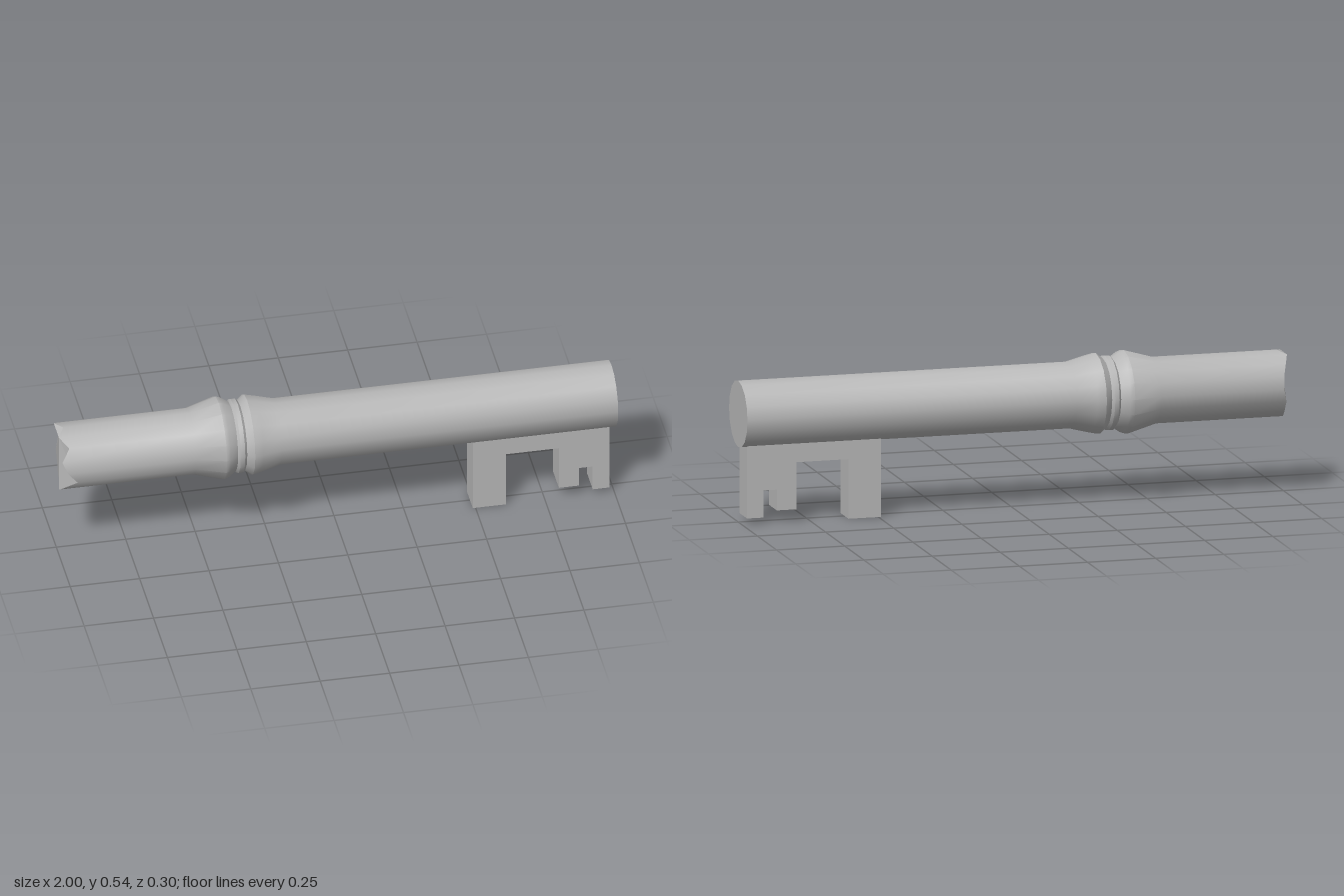
import * as THREE from 'three';
import { toCreasedNormals } from 'three/addons/utils/BufferGeometryUtils.js';

const SIDES = 16, R = 0.12, AXIS_Y = 0.39;

// x of the snapped-off rim, one value per side, from the top towards +z
const RIM = [-0.975, -1, -0.97, -1, -0.98, -0.945, -1, -1,
  -0.985, -0.985, -0.98, -0.98, -0.97, -0.972, -0.985, -1];

function rimPoint(k) {
  const i = k % SIDES, a = (i / SIDES) * Math.PI * 2;
  return [RIM[i], R * Math.cos(a), R * Math.sin(a)];
}

// Round shaft with a double collar; its first ring follows the broken rim
function shaftGeometry() {
  const profile = [
    [R, -1], [R, -0.52], [0.15, -0.415], [0.145, -0.4], [0.125, -0.37],
    [0.134, -0.362], [0.134, -0.346], [0.125, -0.337], [0.145, -0.312],
    [0.138, -0.28], [R, -0.21], [R, 1], [0, 1],
  ].map(([r, x]) => new THREE.Vector2(r, x));
  const geo = new THREE.LatheGeometry(profile, SIDES);
  geo.rotateZ(-Math.PI / 2);
  const p = geo.attributes.position;
  for (let i = 0; i <= SIDES; i++) {
    const v = i * profile.length;
    const k = Math.round(Math.atan2(p.getZ(v), p.getY(v)) / (Math.PI * 2) * SIDES);
    p.setX(v, RIM[(k + SIDES) % SIDES]);
  }
  return toCreasedNormals(geo, 0.6);
}

// Faceted fracture surface: one broad side and one notched side
function fractureGeometry() {
  const tris = [[5, 1, 7], [5, 7, 6]];
  for (let j = 7; j < SIDES; j++) tris.push([1, j + 1, j]);
  for (let j = 1; j < 4; j++) tris.push([5, j + 1, j]);
  const geo = new THREE.BufferGeometry();
  geo.setAttribute('position',
    new THREE.Float32BufferAttribute(tris.flat().flatMap(rimPoint), 3));
  geo.computeVertexNormals();
  return geo;
}

// Toothed bit below the shaft
function bitGeometry() {
  const outline = [
    [0.49, 0.3], [0.49, 0], [0.61, 0], [0.61, 0.215], [0.8, 0.215], [0.8, 0.045],
    [0.873, 0.045], [0.873, 0.12], [0.922, 0.12], [0.922, 0.022], [0.982, 0.022], [0.982, 0.3],
  ].map(([x, y]) => new THREE.Vector2(x, y));
  const geo = new THREE.ExtrudeGeometry(new THREE.Shape(outline), { depth: 0.102, bevelEnabled: false });
  return geo.translate(0, 0, -0.051);
}

export function createModel() {
  const metal = new THREE.MeshStandardMaterial({ color: 0xb8b8b8 });
  metal.name = 'greyMetal';
  const group = new THREE.Group();
  group.name = 'brokenKey';
  const add = (name, geo, y) => {
    const mesh = new THREE.Mesh(geo, metal);
    mesh.name = name;
    mesh.position.y = y;
    group.add(mesh);
  };
  add('shaft', shaftGeometry(), AXIS_Y);
  add('brokenEnd', fractureGeometry(), AXIS_Y);
  add('bit', bitGeometry(), 0);
  return group;
}
